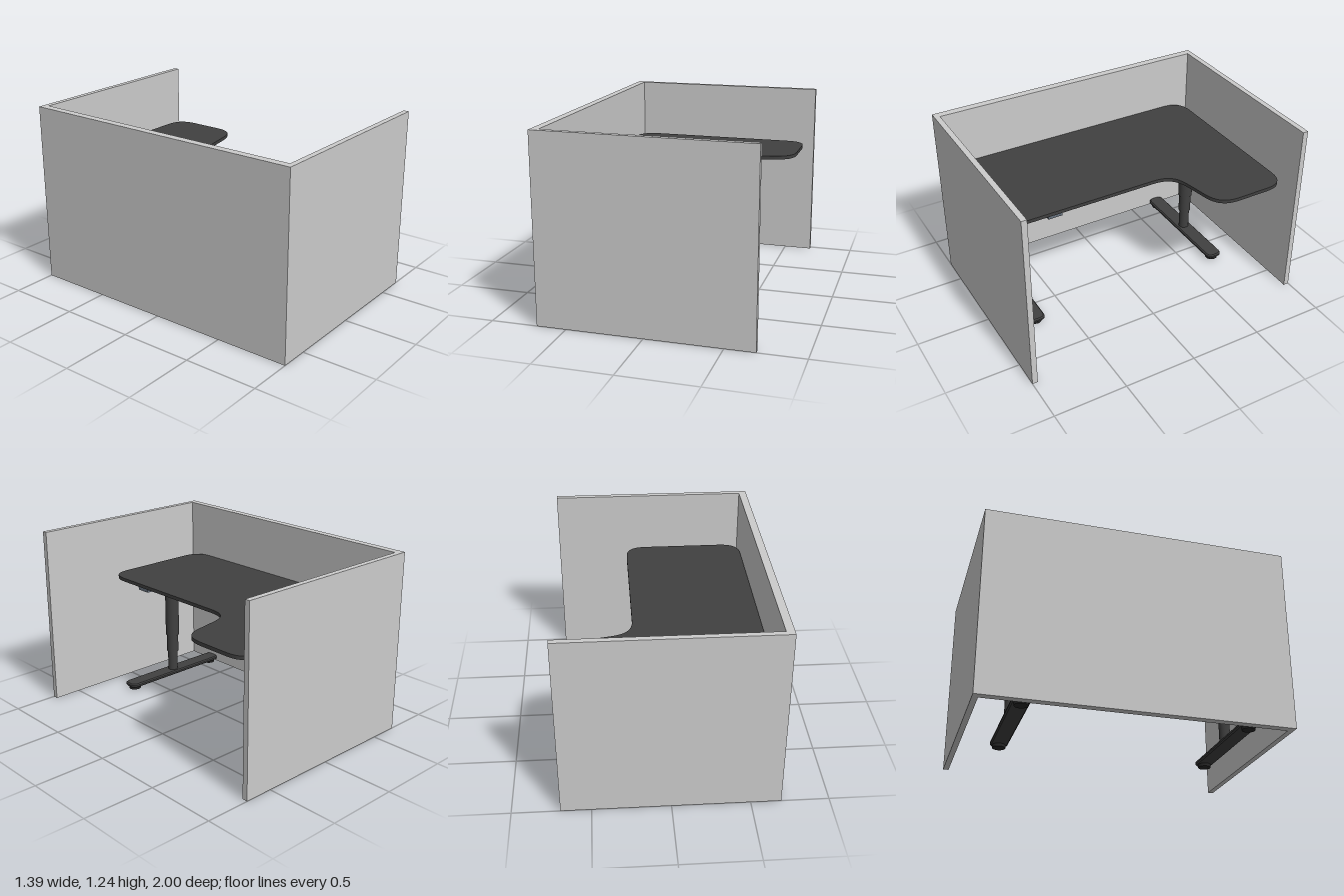
import * as THREE from 'three';
import { toCreasedNormals } from 'three/addons/utils/BufferGeometryUtils.js';

const wallMat = new THREE.MeshStandardMaterial({ color: 0xcccccc });
const darkMat = new THREE.MeshStandardMaterial({ color: 0x404040 });
const padMat = new THREE.MeshStandardMaterial({ color: 0x262626 });
const controlMat = new THREE.MeshStandardMaterial({ color: 0x66707c });

const LEG_X = -0.215;

// Closed outline with each corner softened over distance r
function softOutline(points, r) {
  const shape = new THREE.Shape();
  const v = points.map(([x, z]) => new THREE.Vector2(x, z));
  v.forEach((p, i) => {
    const toward = (q) => p.clone().add(q.clone().sub(p).setLength(r));
    const a = toward(v[(i + v.length - 1) % v.length]);
    const b = toward(v[(i + 1) % v.length]);
    if (i === 0) shape.moveTo(a.x, a.y);
    else shape.lineTo(a.x, a.y);
    // control points pulled close to the corner give a squarish round
    const c1 = a.clone().lerp(p, 0.72), c2 = b.clone().lerp(p, 0.72);
    shape.bezierCurveTo(c1.x, c1.y, c2.x, c2.y, b.x, b.y);
  });
  shape.closePath();
  return shape;
}

// Flat slab from a plan outline in x and z, between two heights
function slab(name, shape, y0, y1, mat, bevel = 0) {
  let geo = new THREE.ExtrudeGeometry(shape, {
    depth: y1 - y0 - 2 * bevel, curveSegments: 12,
    bevelEnabled: bevel > 0, bevelThickness: bevel, bevelSize: bevel,
    bevelOffset: -bevel, bevelSegments: 1,
  });
  geo.rotateX(Math.PI / 2).translate(0, y1 - bevel, 0);
  geo = toCreasedNormals(geo, 0.6);
  const mesh = new THREE.Mesh(geo, mat);
  mesh.name = name;
  return mesh;
}

function box(name, w, h, d, x, y, z, mat = darkMat) {
  const mesh = new THREE.Mesh(new THREE.BoxGeometry(w, h, d), mat);
  mesh.position.set(x, y, z);
  mesh.name = name;
  return mesh;
}

function tube(name, r, y0, y1, x, mat = darkMat) {
  const mesh = new THREE.Mesh(new THREE.CylinderGeometry(r, r, y1 - y0, 32), mat);
  mesh.position.set(x, (y0 + y1) / 2, 0);
  mesh.name = name;
  return mesh;
}

const rect = (x0, x1, z0, z1) => [[x0, z0], [x1, z0], [x1, z1], [x0, z1]];

// Telescopic column on a long foot, with a support arm under the top
function makeLeg(z) {
  const leg = new THREE.Group();
  leg.name = 'leg';
  leg.add(
    tube('outerColumn', 0.05, 0.33, 0.79, LEG_X),
    tube('middleColumn', 0.043, 0.195, 0.34, LEG_X),
    tube('innerColumn', 0.036, 0.04, 0.2, LEG_X),
    slab('foot', softOutline(rect(LEG_X - 0.43, LEG_X + 0.43, -0.057, 0.057), 0.05), 0.02, 0.048, darkMat, 0.008),
    slab('supportArm', softOutline(rect(LEG_X - 0.35, LEG_X + 0.35, -0.03, 0.03), 0.01), 0.8, 0.831, darkMat),
    slab('columnBracket', softOutline(rect(LEG_X - 0.13, LEG_X + 0.13, -0.06, 0.06), 0.02), 0.782, 0.822, darkMat),
  );
  for (const s of [-1, 1]) leg.add(tube('footPad', 0.043, 0, 0.022, LEG_X + s * 0.375, padMat));
  leg.position.z = z;
  return leg;
}

export function createModel() {
  const model = new THREE.Group();
  model.name = 'cubicleDesk';

  // Three-sided partition, open toward +x
  const plan = new THREE.Shape([
    [-0.695, -1], [0.695, -1], [0.695, -0.963], [-0.643, -0.963],
    [-0.643, 0.963], [0.695, 0.963], [0.695, 1], [-0.695, 1],
  ].map(([x, z]) => new THREE.Vector2(x, z)));
  model.add(slab('partition', plan, 0, 1.24, wallMat));

  // L-shaped desktop
  const top = softOutline([
    [-0.64, -0.905], [0.64, -0.905], [0.64, -0.395],
    [0.2, -0.31], [0.2, 0.9], [-0.64, 0.9],
  ], 0.15);
  model.add(slab('desktop', top, 0.83, 0.854, darkMat));

  // Legs and the two rails joining them
  model.add(makeLeg(0.725), makeLeg(-0.705));
  for (const s of [-1, 1]) {
    model.add(box('rail', 0.045, 0.042, 1.44, LEG_X + s * 0.1, 0.806, 0.01));
  }

  // Height control under the working edge
  model.add(box('heightControl', 0.06, 0.026, 0.1, 0.16, 0.817, 0.555, controlMat));
  return model;
}
